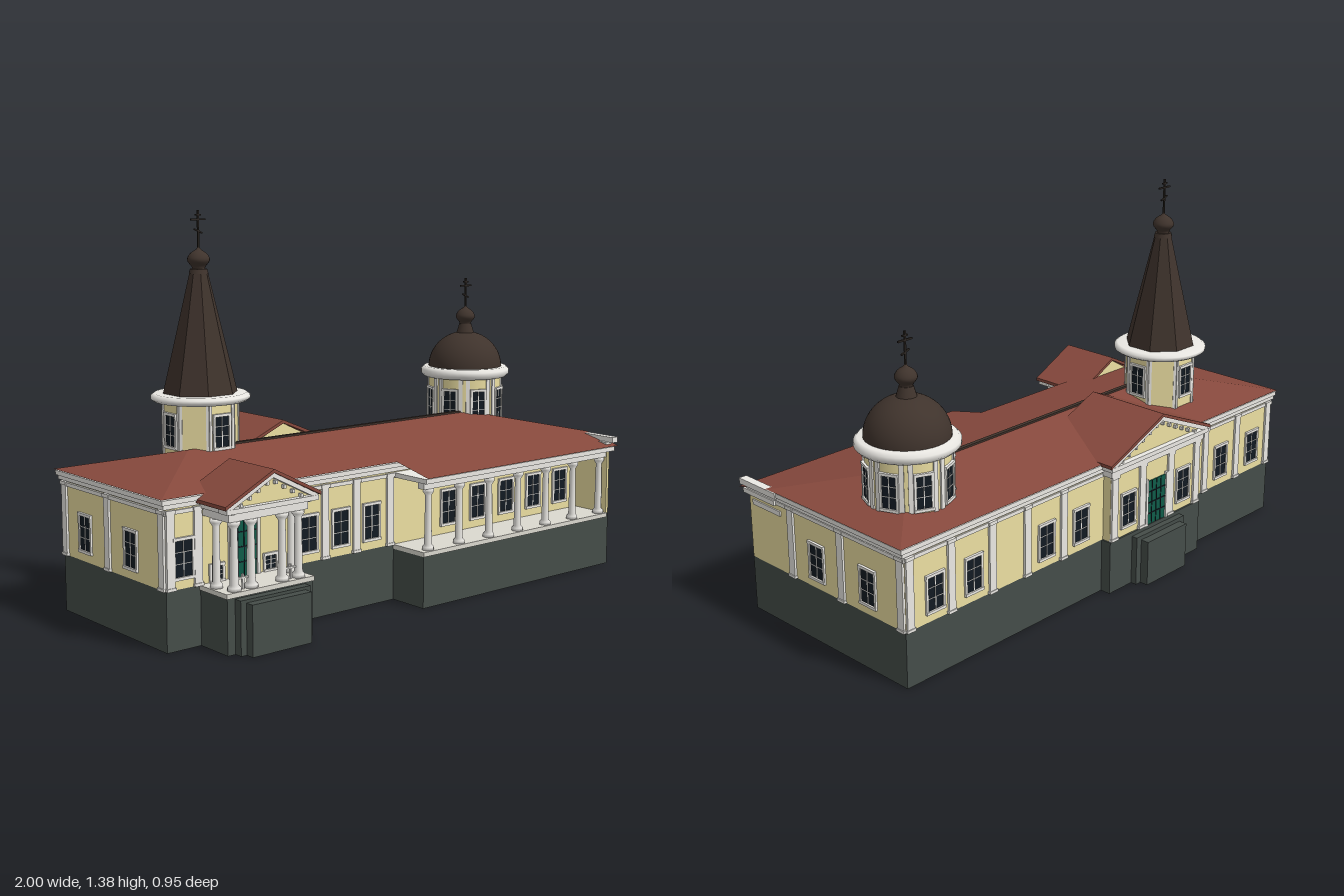
import * as THREE from 'three';

const mat = (color, extra = {}) => new THREE.MeshStandardMaterial({ color, ...extra });
const STONE = mat(0x454d49), WALL = mat(0xecdfa2), TRIM = mat(0xebe9e4), GLASS = mat(0x121a22);
const DOOR = mat(0x0f5c49), IRON = mat(0x2c2622), FLOOR = mat(0xdcd9d0);
const ROOF = mat(0x87493d, { side: THREE.DoubleSide, flatShading: true });
const DARK = mat(0x3f332c), DARKFLAT = mat(0x3f332c, { flatShading: true });
const WALLFLAT = mat(0xecdfa2, { flatShading: true }), TRIMOPEN = mat(0xebe9e4, { side: THREE.DoubleSide });

function add(parent, name, geo, material, x = 0, y = 0, z = 0) {
  const m = new THREE.Mesh(geo, material);
  m.name = name;
  m.position.set(x, y, z);
  parent.add(m);
  return m;
}
// box given by its ranges
function span(parent, name, x0, x1, y0, y1, z0, z1, material) {
  return add(parent, name, new THREE.BoxGeometry(x1 - x0, y1 - y0, z1 - z0), material,
    (x0 + x1) / 2, (y0 + y1) / 2, (z0 + z1) / 2);
}
function sub(parent, name, x = 0, y = 0, z = 0, ry = 0) {
  const g = new THREE.Group();
  g.name = name;
  g.position.set(x, y, z);
  g.rotation.y = ry;
  parent.add(g);
  return g;
}

// framed opening on a wall facing local +z
function windowUnit(parent, x, y0 = 0.24, w = 0.064, h = 0.118) {
  const g = sub(parent, 'window', x, y0, 0), a = w / 2, t = 0.009;
  span(g, 'glass', -a, a, 0, h, -0.014, 0.003, GLASS);
  for (const s of [-1, 1]) span(g, 'frameSide', s * (a + t / 2) - t / 2, s * (a + t / 2) + t / 2, 0, h, -0.002, 0.007, TRIM);
  span(g, 'frameTop', -a - t, a + t, h, h + 0.01, -0.002, 0.009, TRIM);
  span(g, 'sill', -a - t, a + t, -0.01, 0, -0.002, 0.009, TRIM);
  span(g, 'mullion', -0.0015, 0.0015, 0, h, 0, 0.005, TRIM);
  for (const f of [0.36, 0.68]) span(g, 'glazingBar', -a, a, h * f - 0.001, h * f + 0.001, 0, 0.005, TRIM);
}
function pilaster(parent, x, y0 = 0.2, y1 = 0.46, w = 0.03) {
  const g = sub(parent, 'pilaster', x);
  span(g, 'shaft', -w / 2, w / 2, y0, y1, -0.002, 0.008, TRIM);
  span(g, 'plinth', -w * 0.6, w * 0.6, y0, y0 + 0.01, -0.002, 0.011, TRIM);
  span(g, 'capital', -w * 0.6, w * 0.6, y1 - 0.012, y1, -0.002, 0.011, TRIM);
}
function door(parent, x, w, h) {
  const g = sub(parent, 'door', x, 0.2, 0);
  span(g, 'doorLeaf', -w / 2, w / 2, 0, h, -0.014, 0.004, DOOR);
  for (const f of [0.25, 0.5, 0.75]) span(g, 'doorBar', -w / 2, w / 2, h * f - 0.002, h * f + 0.002, 0, 0.006, GLASS);
  for (const f of [-0.25, 0, 0.25]) span(g, 'doorStile', w * f - 0.0015, w * f + 0.0015, 0, h, 0, 0.006, GLASS);
  for (const s of [-1, 1]) span(g, 'doorJamb', s * (w / 2 + 0.006) - 0.006, s * (w / 2 + 0.006) + 0.006, 0, h + 0.01, 0, 0.01, TRIM);
}
function column(parent, x, z, y0, y1, r) {
  const h = y1 - y0;
  const p = [[0, 0], [r * 1.6, 0], [r * 1.6, 0.012], [r * 1.05, 0.02], [r * 0.85, h - 0.025], [r * 1.5, h - 0.012], [r * 1.5, h], [0, h]];
  add(parent, 'column', new THREE.LatheGeometry(p.map(q => new THREE.Vector2(...q)), 14), TRIM, x, y0, z);
}

// wall panel with windows and pilasters, local +z outward
function facade(parent, name, x, z, ry, x0, x1, windows, pilasters) {
  const g = sub(parent, name, x, 0, z, ry);
  span(g, 'wall', x0, x1, 0.2, 0.48, -0.01, 0, WALL);
  windows.forEach(v => windowUnit(g, v));
  pilasters.forEach(v => pilaster(g, v));
  return g;
}

// gabled roof with pediment, built along local z
function extrudeXY(points, z0, z1) {
  const geo = new THREE.ExtrudeGeometry(new THREE.Shape(points.map(p => new THREE.Vector2(...p))), { depth: z1 - z0, bevelEnabled: false });
  return geo.translate(0, 0, z0);
}
function chevron(h, yE, yR, t) {
  return [[-h, yE - t], [0, yR - t], [h, yE - t], [h, yE], [0, yR], [-h, yE]];
}
function gable(g, h, yE, yR, z0, z1) {
  add(g, 'gableRoof', extrudeXY(chevron(h, yE, yR, 0.012), z0, z1), ROOF);
  add(g, 'rakingCornice', extrudeXY(chevron(h - 0.01, yE - 0.008, yR - 0.012, 0.016), z1 - 0.035, z1 - 0.005), TRIM);
  add(g, 'pediment', extrudeXY([[-h + 0.03, yE - 0.012], [h - 0.03, yE - 0.012], [0, yR - 0.012]], z0 + 0.006, z1 - 0.025), WALL);
  span(g, 'pedimentCornice', -h + 0.008, h - 0.008, yE - 0.028, yE - 0.012, z1 - 0.05, z1 - 0.004, TRIM);
  const n = Math.round(h / 0.02);
  for (let i = 0; i < n; i++) {
    const f = (i + 0.5) / n * 2 - 1, y = yR - 0.03 - Math.abs(f) * (yR - yE);
    span(g, 'dentil', f * (h - 0.02) - 0.005, f * (h - 0.02) + 0.005, y - 0.012, y, z1 - 0.03, z1 - 0.012, TRIM);
  }
}

// onion knob with cross, base at y = 0
function finial(parent, y, r, h, top) {
  const g = sub(parent, 'finial', 0, y, 0);
  const curve = new THREE.SplineCurve([[r * 0.6, 0], [r * 0.6, h * 0.15], [r, h * 0.42], [r * 0.75, h * 0.68], [r * 0.2, h * 0.86], [0.001, h]].map(p => new THREE.Vector2(...p)));
  add(g, 'knob', new THREE.LatheGeometry(curve.getPoints(20), 20), DARK);
  const c = top - y;
  span(g, 'crossPost', -0.003, 0.003, h * 0.9, c, -0.003, 0.003, IRON);
  span(g, 'crossArm', -0.03, 0.03, c - 0.034, c - 0.028, -0.003, 0.003, IRON);
  span(g, 'crossTop', -0.012, 0.012, c - 0.018, c - 0.013, -0.003, 0.003, IRON);
  span(g, 'crossFoot', -0.018, 0.018, c - 0.073, c - 0.068, -0.003, 0.003, IRON).rotation.z = -0.4;
}
function ringCornice(parent, y, r, half) {
  const p = [[r - 0.06, -half], [r - 0.012, -half], [r, -half * 0.4], [r, half * 0.4], [r - 0.012, half], [r - 0.07, half]];
  add(parent, 'ringCornice', new THREE.LatheGeometry(p.map(q => new THREE.Vector2(...q)), 40), TRIMOPEN, 0, y, 0);
}

export function createModel() {
  const root = new THREE.Group();
  root.name = 'church';
  const b = sub(root, 'building', 0, 0, 0, 0.0225);

  // hollow plinth with a solid porch terrace
  const X = 0.965, ZB = -0.382, ZF = 0.25, ZP = 0.407, T = 0.02;
  const plinth = sub(b, 'plinth');
  span(plinth, 'plinthBack', -X, X, 0, 0.2, ZB, ZB + T, STONE);
  span(plinth, 'plinthLeftEnd', -X, -X + T, 0, 0.2, ZB, ZF, STONE);
  span(plinth, 'plinthRightEnd', X - T, X, 0, 0.2, ZB, ZP, STONE);
  span(plinth, 'plinthFront', -X, 0, 0, 0.2, ZF - T, ZF, STONE);
  span(plinth, 'porchTerrace', -0.01, X - 0.002, 0, 0.185, ZF - T, ZP, STONE);

  // walls
  const front = facade(b, 'frontWall', 0, ZF, 0, -X, X,
    [-0.9, -0.395, -0.255, -0.115, 0.257, 0.406, 0.556, 0.705, 0.855], [-0.95, -0.845, -0.465, -0.325, -0.185, -0.03]);
  door(front, -0.665, 0.1, 0.2);
  for (const s of [-1, 1]) windowUnit(front, -0.665 + s * 0.108, 0.208, 0.042, 0.045);
  facade(b, 'backWall', 0, ZB, Math.PI, -X, X,
    [-0.84, -0.67, -0.325, -0.15, 0.65, 0.85], [-0.948, -0.77, -0.585, -0.42, -0.24, 0.55, 0.748, 0.948]);
  const right = facade(b, 'rightWall', X, 0, Math.PI / 2, -ZF, -ZB, [-0.05, 0.207], [-0.18, 0.076, 0.366]);
  span(right, 'porchEndWall', -ZP, -ZF, 0.2, 0.46, -0.012, 0, WALL);
  span(right, 'wallPanel', -0.385, -0.235, 0.405, 0.423, 0, 0.005, TRIM);
  facade(b, 'leftWall', -X, 0, -Math.PI / 2, ZB, ZF, [-0.235, 0.05], [-0.366, -0.09, 0.233]);

  // eaves cornice in stepped bands
  [[0.445, 0.458, 0.008], [0.465, 0.48, 0.014], [0.48, 0.496, 0.021]].forEach(([y0, y1, o]) =>
    span(b, 'cornice', -X - o, X + o, y0, y1, ZB - o * 0.6, ZF + o * 0.8, TRIM));
  span(b, 'endCornice', X - 0.02, X + 0.012, 0.45, 0.478, ZF, ZP, TRIM);
  span(b, 'endCorniceCap', X - 0.004, X + 0.026, 0.476, 0.497, ZF - 0.02, 0.425, TRIM);

  // colonnaded porch
  const porch = sub(b, 'porch');
  span(porch, 'porchFloor', -0.012, X - 0.012, 0.185, 0.201, ZF, ZP + 0.004, FLOOR);
  for (let i = 0; i < 7; i++) column(porch, 0.03 + i * 0.15, 0.386, 0.2, 0.42, 0.013);
  span(porch, 'porchBeam', -0.005, X - 0.005, 0.42, 0.445, 0.37, 0.402, TRIM);
  span(porch, 'porchCeiling', -0.012, X + 0.016, 0.443, 0.46, ZF, 0.42, TRIM);

  // hipped main roof, the front slope running on over the porch
  const L = [-0.66, 0.573, -0.067], R = [0.66, 0.573, -0.067];
  const bl = [-0.99, 0.5, -0.397], br = [0.99, 0.5, -0.397], fl = [-0.99, 0.5, 0.27], fr = [0.99, 0.5, 0.27];
  const fm = [-0.012, 0.5, 0.27], pl = [-0.012, 0.464, 0.43], pr = [0.99, 0.464, 0.43];
  const tris = [L, fl, fm, L, fm, R, R, fm, fr, fm, pl, pr, fm, pr, fr, R, fr, br, R, br, bl, R, bl, L, L, bl, fl];
  const roofGeo = new THREE.BufferGeometry();
  roofGeo.setAttribute('position', new THREE.Float32BufferAttribute(tris.flat(), 3));
  roofGeo.computeVertexNormals();
  add(b, 'mainRoof', roofGeo, ROOF);
  span(b, 'ridgeCap', -0.5, 0.62, 0.565, 0.578, -0.075, -0.059, DARK);

  // front portico with paired columns
  const fp = sub(b, 'frontPortico', -0.665);
  span(fp, 'porticoBase', -0.17, 0.17, 0, 0.185, ZF - 0.02, 0.395, STONE);
  span(fp, 'landing', -0.14, 0.14, 0, 0.18, 0.39, 0.425, STONE);
  span(fp, 'steps', -0.118, 0.118, 0, 0.17, 0.42, 0.457, STONE);
  span(fp, 'porticoFloor', -0.175, 0.175, 0.185, 0.201, ZF, 0.4, FLOOR);
  for (const s of [-1, 1]) {
    for (const x of [0.062, 0.128]) column(fp, s * x, 0.375, 0.2, 0.425, 0.014);
    column(fp, s * 0.15, 0.31, 0.2, 0.425, 0.013);
    span(fp, 'railing', s * 0.095 - 0.025, s * 0.095 + 0.025, 0.235, 0.241, 0.37, 0.38, TRIM);
    span(fp, 'railingPost', s * 0.095 - 0.003, s * 0.095 + 0.003, 0.2, 0.25, 0.371, 0.379, TRIM);
  }
  span(fp, 'entablature', -0.158, 0.158, 0.425, 0.455, ZF, 0.39, TRIM);
  span(fp, 'entablatureCap', -0.172, 0.172, 0.453, 0.468, ZF, 0.402, TRIM);
  gable(fp, 0.19, 0.484, 0.58, 0.178, 0.42);

  // closed back portico with door, windows and pilasters
  const bp = sub(b, 'backPortico', -0.22, 0, 0, Math.PI);
  span(bp, 'porticoBase', -0.255, 0.255, 0, 0.2, 0.36, 0.422, STONE);
  span(bp, 'steps', -0.11, 0.11, 0, 0.17, 0.42, 0.477, STONE);
  span(bp, 'landing', -0.135, 0.135, 0, 0.185, 0.42, 0.445, STONE);
  span(bp, 'porticoWall', -0.25, 0.25, 0.2, 0.48, 0.38, 0.415, WALL);
  const face = sub(bp, 'porticoFace', 0, 0, 0.415);
  [-0.232, -0.08, 0.08, 0.232].forEach(x => pilaster(face, x, 0.2, 0.45, 0.032));
  [-0.155, 0.155].forEach(x => windowUnit(face, x));
  door(face, 0, 0.1, 0.17);
  span(bp, 'entablature', -0.26, 0.26, 0.45, 0.48, 0.36, 0.427, TRIM);
  gable(bp, 0.28, 0.505, 0.624, 0.108, 0.443);

  // octagonal bell tower with spire, windows on alternate sides
  const tower = sub(b, 'bellTower', -0.547, 0, -0.154);
  add(tower, 'towerBody', new THREE.CylinderGeometry(0.133, 0.133, 0.25, 8).rotateY(Math.PI / 8), WALLFLAT, 0, 0.605, 0);
  for (let i = 0; i < 8; i++) {
    const a = i * Math.PI / 4, side = sub(tower, 'towerSide', Math.sin(a) * 0.123, 0, Math.cos(a) * 0.123, a);
    if (i % 2 === 0) windowUnit(side, 0, 0.575, 0.055, 0.105);
    for (const s of [-1, 1]) span(side, 'cornerStrip', s * 0.046 - 0.005, s * 0.046 + 0.005, 0.5, 0.72, -0.003, 0.004, TRIM);
  }
  ringCornice(tower, 0.737, 0.172, 0.014);
  add(tower, 'spire', new THREE.CylinderGeometry(0.03, 0.133, 0.43, 8).rotateY(Math.PI / 8), DARKFLAT, 0, 0.958, 0);
  add(tower, 'spireCollar', new THREE.CylinderGeometry(0.03, 0.034, 0.016, 16), DARK, 0, 1.168, 0);
  finial(tower, 1.17, 0.039, 0.085, 1.375);

  // round drum with dome
  const drum = sub(b, 'domeTower', 0.734, 0, -0.154);
  add(drum, 'drumBody', new THREE.CylinderGeometry(0.143, 0.143, 0.24, 40), WALL, 0, 0.595, 0);
  for (let i = 0; i < 8; i++) {
    const a = (i + 0.5) * Math.PI / 4, side = sub(drum, 'drumSide', Math.sin(a) * 0.142, 0, Math.cos(a) * 0.142, a);
    windowUnit(side, 0, 0.54, 0.05, 0.112);
    const c = i * Math.PI / 4;
    for (const o of [-0.1, 0.1]) {
      const strip = sub(drum, 'drumPilaster', Math.sin(c + o) * 0.142, 0, Math.cos(c + o) * 0.142, c + o);
      span(strip, 'shaft', -0.008, 0.008, 0.5, 0.71, -0.003, 0.006, TRIM);
    }
  }
  ringCornice(drum, 0.721, 0.175, 0.02);
  const dome = add(drum, 'dome', new THREE.SphereGeometry(0.145, 40, 16, 0, Math.PI * 2, 0, Math.PI / 2), DARK, 0, 0.738, 0);
  dome.scale.y = 0.96;
  add(drum, 'domeNeck', new THREE.CylinderGeometry(0.024, 0.036, 0.04, 20), DARK, 0, 0.888, 0);
  finial(drum, 0.9, 0.038, 0.085, 1.09);

  return root;
}
